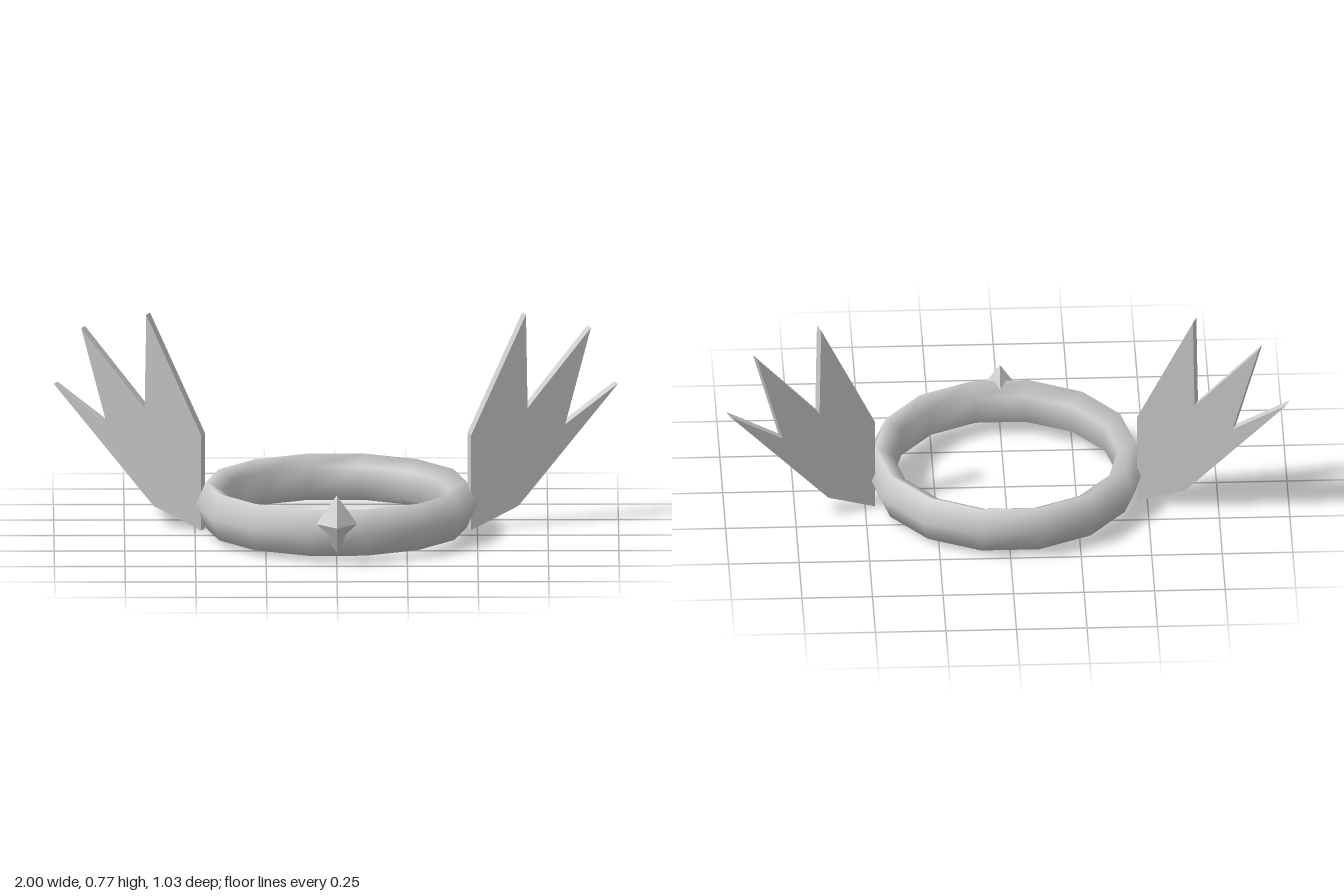
import * as THREE from 'three';

const silver = new THREE.MeshStandardMaterial({ color: 0xcccccc });
silver.name = 'silver grey';

// Feathered plate outline: distance out from the band, height
const FEATHERS = [
  [0, 0], [0.179, 0.075], [0.555, 0.49], [0.355, 0.357], [0.452, 0.7],
  [0.213, 0.427], [0.207, 0.767], [0, 0.345],
];
const WING_THICKNESS = 0.04;
const WING_SWEEP = THREE.MathUtils.degToRad(20);

function addPart(parent, name, geometry) {
  const mesh = new THREE.Mesh(geometry, silver);
  mesh.name = name;
  parent.add(mesh);
  return mesh;
}

// side: +1 for the left wing (+x), -1 for the right
function wingGeometry(side) {
  const outline = new THREE.Shape(FEATHERS.map(([u, y]) => new THREE.Vector2(side * u, y)));
  const geometry = new THREE.ExtrudeGeometry(outline, { depth: WING_THICKNESS, bevelEnabled: false });
  geometry.translate(0, 0, -WING_THICKNESS);
  geometry.rotateY(side * WING_SWEEP);
  return geometry.translate(side * 0.478, 0, -0.08);
}

export function createModel() {
  const model = new THREE.Group();
  model.name = 'winged circlet';

  // Head band: five-sided section, stretched upward
  const band = new THREE.TorusGeometry(0.4445, 0.054, 5, 14);
  band.rotateX(-Math.PI / 2);
  band.scale(1, 1.64, 1);
  addPart(model, 'band', band).position.set(0, 0.105, -0.028);

  // Faceted gem set into the front of the band
  const gem = new THREE.OctahedronGeometry(1);
  gem.scale(0.073, 0.104, 0.075);
  addPart(model, 'gem', gem).position.set(0, 0.14, 0.44);

  // Swept-back wings
  addPart(model, 'leftWing', wingGeometry(1));
  addPart(model, 'rightWing', wingGeometry(-1));

  return model;
}
